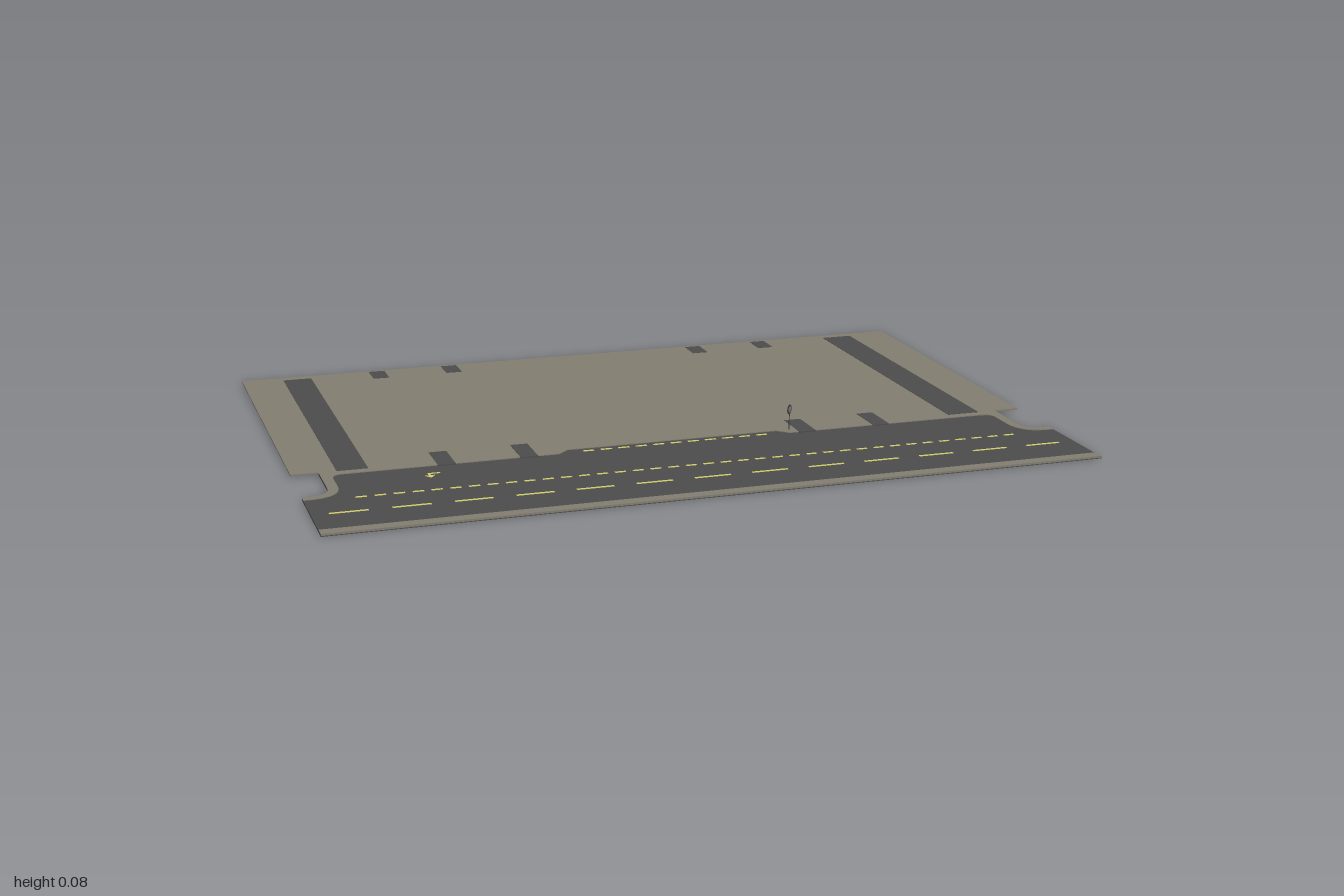
import * as THREE from 'three';

const mat = (name, color, side = THREE.FrontSide) => {
  const m = new THREE.MeshStandardMaterial({ color, side });
  m.name = name;
  return m;
};

export function createModel() {
  const group = new THREE.Group();
  const paving = mat('beige paving', 0x827c70);
  const asphalt = mat('asphalt', 0x4b4b4b);
  const yellow = mat('yellow paint', 0xd2cc6c);
  const steel = mat('dark steel', 0x3c3c3e);
  const signGrey = mat('sign grey', 0x707072);

  const add = (name, geometry, material, x = 0, y = 0, z = 0) => {
    const mesh = new THREE.Mesh(geometry, material);
    mesh.name = name;
    mesh.position.set(x, y, z);
    group.add(mesh);
    return mesh;
  };
  // Box given by its plan extents and heights
  const plate = (name, material, x0, x1, z0, z1, y0, y1) =>
    add(name, new THREE.BoxGeometry(x1 - x0, y1 - y0, z1 - z0), material,
      (x0 + x1) / 2, (y0 + y1) / 2, (z0 + z1) / 2);
  // Flat slab from a plan outline drawn in (x, -z)
  const slab = (name, material, shape, y0, y1) => {
    const g = new THREE.ExtrudeGeometry(shape, { depth: y1 - y0, bevelEnabled: false, curveSegments: 8 });
    g.rotateX(-Math.PI / 2);
    return add(name, g, material, 0, y0, 0);
  };

  // Plaza
  plate('plaza', paving, -1, 1, -0.7, 0.232, 0.003, 0.007);

  // Road bed with a rounded notch at each rear corner
  const road = new THREE.Shape();
  road.moveTo(-1, -0.697);
  road.lineTo(1, -0.697);
  road.lineTo(1, -0.42);
  road.lineTo(0.98, -0.42);
  road.quadraticCurveTo(0.93, -0.42, 0.93, -0.365);
  road.lineTo(0.93, -0.232);
  road.lineTo(-0.93, -0.232);
  road.lineTo(-0.93, -0.365);
  road.quadraticCurveTo(-0.93, -0.42, -0.98, -0.42);
  road.lineTo(-1, -0.42);
  slab('road', asphalt, road, 0, 0.005);

  // Pavements that turn the corners and leave a stopping bay in the middle
  for (const s of [-1, 1]) {
    const p = new THREE.Shape();
    p.moveTo(s * 0.285, -0.231);
    p.lineTo(s * 0.93, -0.231);
    p.lineTo(s * 0.93, -0.365);
    p.quadraticCurveTo(s * 0.93, -0.418, s * 0.98, -0.418);
    p.lineTo(s, -0.418);
    p.lineTo(s, -0.44);
    p.lineTo(s * 0.98, -0.44);
    p.quadraticCurveTo(s * 0.903, -0.435, s * 0.903, -0.36);
    p.lineTo(s * 0.903, -0.29);
    p.quadraticCurveTo(s * 0.9, -0.26, s * 0.875, -0.26);
    p.lineTo(s * 0.315, -0.26);
    slab(s < 0 ? 'rightPavement' : 'leftPavement', paving, p, 0.004, 0.007);
  }
  plate('frontPavement', paving, -1, 1, 0.668, 0.7, 0.003, 0.008);

  // Asphalt strips and driveways let into the plaza
  for (const [x0, x1] of [[-0.885, -0.805], [0.79, 0.88]])
    plate('asphaltStrip', asphalt, x0, x1, -0.67, 0.235, 0.006, 0.0076);
  for (const x of [-0.61, -0.395, 0.367, 0.578]) {
    plate('rearDriveway', asphalt, x - 0.023, x + 0.023, -0.69, -0.612, 0.006, 0.0076);
    plate('frontDriveway', asphalt, x - 0.023, x + 0.023, 0.15, 0.265, 0.004, 0.0076);
  }

  // Dashed lane markings
  const dashes = (name, count, first, pitch, length, z, width) => {
    for (let i = 0; i < count; i++) {
      const x = first + i * pitch;
      plate(name, yellow, x - length / 2, x + length / 2, z - width / 2, z + width / 2, 0.0045, 0.006);
    }
  };
  dashes('centreDash', 13, -0.91, 0.1515, 0.095, 0.553, 0.008);
  dashes('laneDash', 38, -0.862, 0.0466, 0.028, 0.45, 0.008);
  dashes('bayDash', 11, -0.235, 0.0475, 0.03, 0.252, 0.008);

  // Turn arrow
  plate('arrowTail', yellow, -0.672, -0.64, 0.317, 0.323, 0.0045, 0.006);
  plate('arrowStem', yellow, -0.672, -0.666, 0.323, 0.338, 0.0045, 0.006);
  const head = new THREE.Shape();
  head.moveTo(-0.682, -0.335);
  head.lineTo(-0.669, -0.354);
  head.lineTo(-0.656, -0.335);
  slab('arrowHead', yellow, head, 0.0045, 0.006);

  // Round stop sign plate on a post, turned towards the corner
  add('signPost', new THREE.CylinderGeometry(0.0013, 0.0013, 0.05, 8), steel, 0.325, 0.032, 0.235);
  const sign = new THREE.Group();
  sign.name = 'sign';
  const disc = (name, r, t, m) => {
    const g = new THREE.CylinderGeometry(r, r, t, 24);
    g.rotateX(Math.PI / 2);
    const mesh = new THREE.Mesh(g, m);
    mesh.name = name;
    sign.add(mesh);
  };
  disc('signRim', 0.0125, 0.002, steel);
  disc('signFace', 0.0085, 0.003, signGrey);
  sign.position.set(0.325, 0.063, 0.235);
  sign.rotation.y = Math.PI / 4;
  group.add(sign);

  return group;
}
